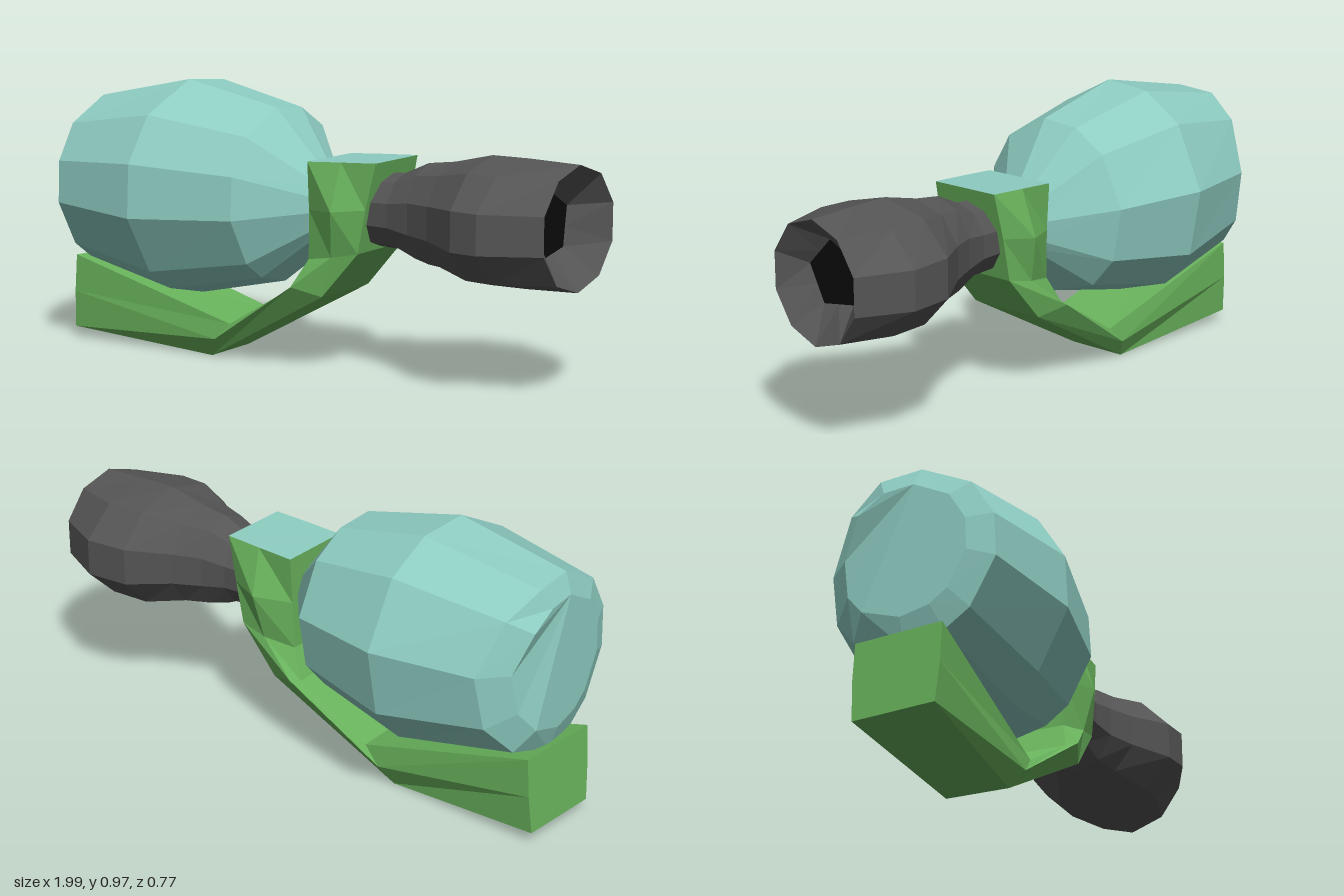
import * as THREE from 'three';

const teal = 0x8ecdc2, green = 0x69b35c, dark = 0x555555, black = 0x0c0c0c;

// Skin a list of equal-length rings ([x, y, z] points), optionally closing the ends
function loft(rings, capStart, capEnd) {
  const pos = [];
  const tri = (a, b, c) => pos.push(...a, ...b, ...c);
  const n = rings[0].length;
  for (let r = 0; r < rings.length - 1; r++) {
    const a = rings[r], b = rings[r + 1];
    for (let i = 0; i < n; i++) {
      const j = (i + 1) % n;
      tri(a[i], a[j], b[i]);
      tri(a[j], b[j], b[i]);
    }
  }
  const first = rings[0], last = rings[rings.length - 1];
  for (let i = 1; i < n - 1; i++) {
    if (capStart) tri(first[0], first[i + 1], first[i]);
    if (capEnd) tri(last[0], last[i], last[i + 1]);
  }
  const g = new THREE.BufferGeometry();
  g.setAttribute('position', new THREE.Float32BufferAttribute(pos, 3));
  g.computeVertexNormals();
  return g;
}

// Ring around the x axis; angles run from up towards +z, xAt skews it along x
function ring(angles, cy, ry, rz, xAt) {
  return angles.map((deg) => {
    const t = THREE.MathUtils.degToRad(deg);
    const z = rz * Math.sin(t);
    return [xAt(z), cy + ry * Math.cos(t), z];
  });
}

export function createModel() {
  const group = new THREE.Group();
  const add = (name, geometry, color) => {
    const mesh = new THREE.Mesh(geometry, new THREE.MeshStandardMaterial({ color, flatShading: true }));
    mesh.name = name;
    group.add(mesh);
  };

  // Barrel-shaped body with uneven facets, its back end sloping on the -z side
  const facets = [9, 45, 73, 101, 135, 154, 180, 216, 242, 278, 315, 342];
  const slope = (x) => (z) => x + 0.6 * Math.max(0, -z - 0.15);
  add('barrelBody', loft([
    ring(facets, 0.595, 0.23, 0.225, slope(-0.96)),
    ring(facets, 0.585, 0.308, 0.312, slope(-0.93)),
    ring(facets, 0.585, 0.388, 0.39, (z) => -0.52 - 0.09 * z),
    ring(facets, 0.585, 0.308, 0.31, (z) => -0.16 - 0.04 * z),
    ring(facets, 0.565, 0.1, 0.09, () => 0.03),
  ], true, true), teal);

  // Bent arm: each section is inner, middle and outer [x, y, half width]
  const sections = [
    [[-0.965, 0.31, 0.155], [-0.975, 0.175, 0.155], [-0.985, 0.04, 0.145]],
    [[-0.3, 0.13, 0.14], [-0.36, 0.07, 0.15], [-0.4, 0.0, 0.11]],
    [[-0.03, 0.29, 0.15], [-0.01, 0.3, 0.187], [0.09, 0.27, 0.145]],
    [[0.02, 0.39, 0.12], [0.13, 0.41, 0.15], [0.23, 0.43, 0.14]],
    [[0.025, 0.56, 0.125], [0.15, 0.57, 0.185], [0.26, 0.58, 0.14]],
    [[0.025, 0.725, 0.135], [0.16, 0.732, 0.135], [0.295, 0.738, 0.132]],
  ];
  const armRings = sections.map((s, k) => {
    const skew = k === 0 ? -0.1 : 0;
    const side = (dir) => s.map(([x, y, w]) => [x + skew * dir * w, y, dir * w]);
    return [...side(1), ...side(-1).reverse()];
  });
  add('supportArm', loft(armRings, true, false), green);

  // Plate closing the top of the arm
  add('armTopPlate', loft([armRings[5]], false, true), teal);

  // Flared handle, its rim folding into a shallow cup with a five-sided floor
  const ten = Array.from({ length: 10 }, (_, i) => i * 36);
  const handleRings = [
    [0.2, 0.125, 0.12], [0.33, 0.13, 0.125], [0.42, 0.17, 0.145], [0.52, 0.182, 0.19],
    [0.66, 0.214, 0.285], [0.79, 0.213, 0.3], [0.975, 0.206, 0.21],
  ].map(([x, ry, rz], k) => ring(ten, 0.565, ry, rz, (z) => x - (k > 4 ? 0.1 : 0) * z));
  const floor = ten.map((deg, i) => {
    const t = THREE.MathUtils.degToRad(deg + 9);
    const r = i % 2 ? 0.115 * Math.cos(Math.PI / 5) : 0.115;
    return [0.88, 0.57 + r * Math.cos(t), 0.005 + r * Math.sin(t)];
  });
  add('handle', loft([...handleRings, floor], true, false), dark);
  add('cupFloor', loft([floor], false, true), black);

  return group;
}
